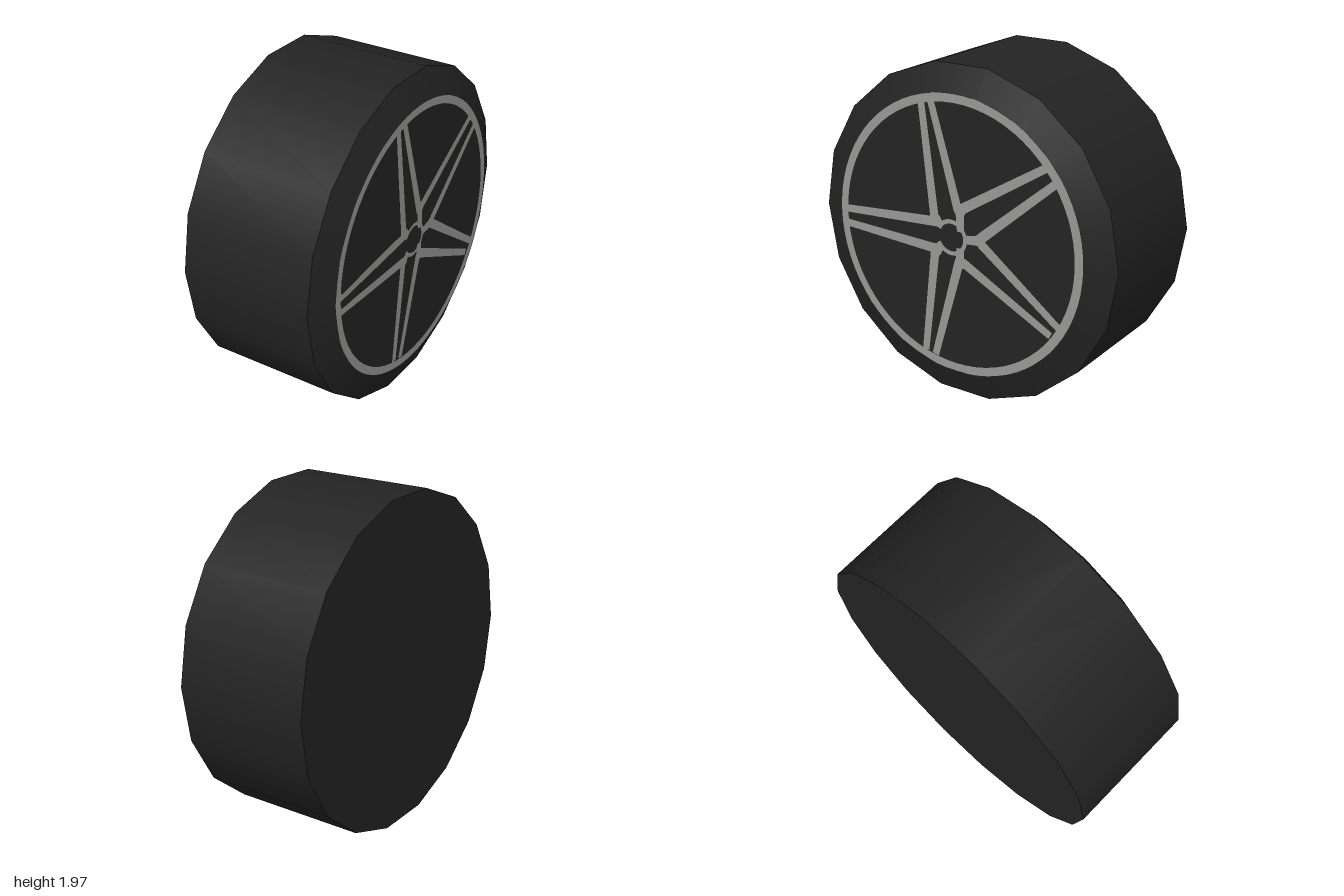
import * as THREE from 'three';

const SIDES = 18;
const HALF = 0.44;                          // half the wheel's width
const AXLE = Math.cos(Math.PI / SIDES);     // axle height, resting on a flat side
const FACE = HALF - 0.004;                  // plane of the outer disc

export function createModel() {
  const rubber = new THREE.MeshStandardMaterial({ color: 0x232323 });
  rubber.name = 'black rubber';
  const alloy = new THREE.MeshStandardMaterial({ color: 0x979995 });
  alloy.name = 'grey alloy';

  const wheel = new THREE.Group();
  wheel.name = 'wheel';
  wheel.position.y = AXLE;

  const add = (name, geometry, material, parent = wheel) => {
    const mesh = new THREE.Mesh(geometry, material);
    mesh.name = name;
    parent.add(mesh);
    return mesh;
  };

  // Open band around the axle, from x0 to x1
  const band = (name, r0, r1, x0, x1) => add(name,
    new THREE.CylinderGeometry(r1, r0, x1 - x0, SIDES, 1, true)
      .rotateZ(-Math.PI / 2).translate((x0 + x1) / 2, 0, 0), rubber);

  // Tyre: tread, outer bevel and the two flat sides
  band('tread', 1, 1, -HALF, 0.37);
  band('outerBevel', 1, 0.835, 0.37, FACE);
  add('outerDisc', new THREE.CircleGeometry(0.835, SIDES)
    .rotateY(Math.PI / 2).translate(FACE, 0, 0), rubber);
  add('innerDisc', new THREE.CircleGeometry(1, SIDES)
    .rotateY(-Math.PI / 2).translate(-HALF, 0, 0), rubber);

  // Alloy design, laid out flat in (u, v) and turned to face +x
  const design = new THREE.Group();
  design.name = 'alloyDesign';
  design.rotation.y = Math.PI / 2;
  design.position.x = HALF;
  wheel.add(design);

  // Tapered flat bar between two points
  const bar = (name, [u0, v0, u1, v1], w0, w1) => {
    const a = new THREE.Vector2(u0, v0), b = new THREE.Vector2(u1, v1);
    const d = b.clone().sub(a).normalize();
    const n = new THREE.Vector2(-d.y, d.x);
    const at = (p, s) => p.clone().addScaledVector(n, s / 2);
    const shape = new THREE.Shape([at(a, -w0), at(b, -w1), at(b, w1), at(a, w0)]);
    add(name, new THREE.ShapeGeometry(shape), alloy, design);
  };

  add('rimRing', new THREE.RingGeometry(0.78, 0.832, 72)
    .translate(-0.005, 0.007, 0), alloy, design);

  // Five pairs of spokes, each from the rim to a joint near the hub
  const spokes = [
    [-0.79, 0.03, -0.13, 0.08], [-0.79, -0.06, -0.13, -0.085],
    [-0.225, 0.775, -0.145, 0.10], [-0.16, 0.785, 0.02, 0.17],
    [0.60, 0.53, 0.04, 0.185], [0.665, 0.46, 0.17, 0.04],
    [0.68, -0.37, 0.17, 0.01], [0.63, -0.43, 0.05, -0.13],
    [-0.225, -0.74, -0.145, -0.10], [-0.155, -0.755, 0.02, -0.14],
  ];
  for (const s of spokes) bar('spoke', s, 0.046, 0.06);

  // Rounded joints with links into the hub ring
  const links = [
    [-0.135, 0.09, -0.09, 0.06], [0.03, 0.175, 0.035, 0.05], [0.165, 0.025, 0.06, 0.01],
    [0.03, -0.135, 0.03, -0.05], [-0.135, -0.09, -0.09, -0.05],
  ];
  for (const l of links) {
    add('joint', new THREE.CircleGeometry(0.038, 16).translate(l[0], l[1], 0), alloy, design);
    bar('hubLink', l, 0.06, 0.05);
  }

  // Hub ring, open on one side
  add('hubRing', new THREE.RingGeometry(0.082, 0.108, 32, 1, -2.7, 5.4)
    .translate(-0.03, 0.005, 0), alloy, design);

  const model = new THREE.Group();
  model.name = 'model';
  model.add(wheel);
  return model;
}
